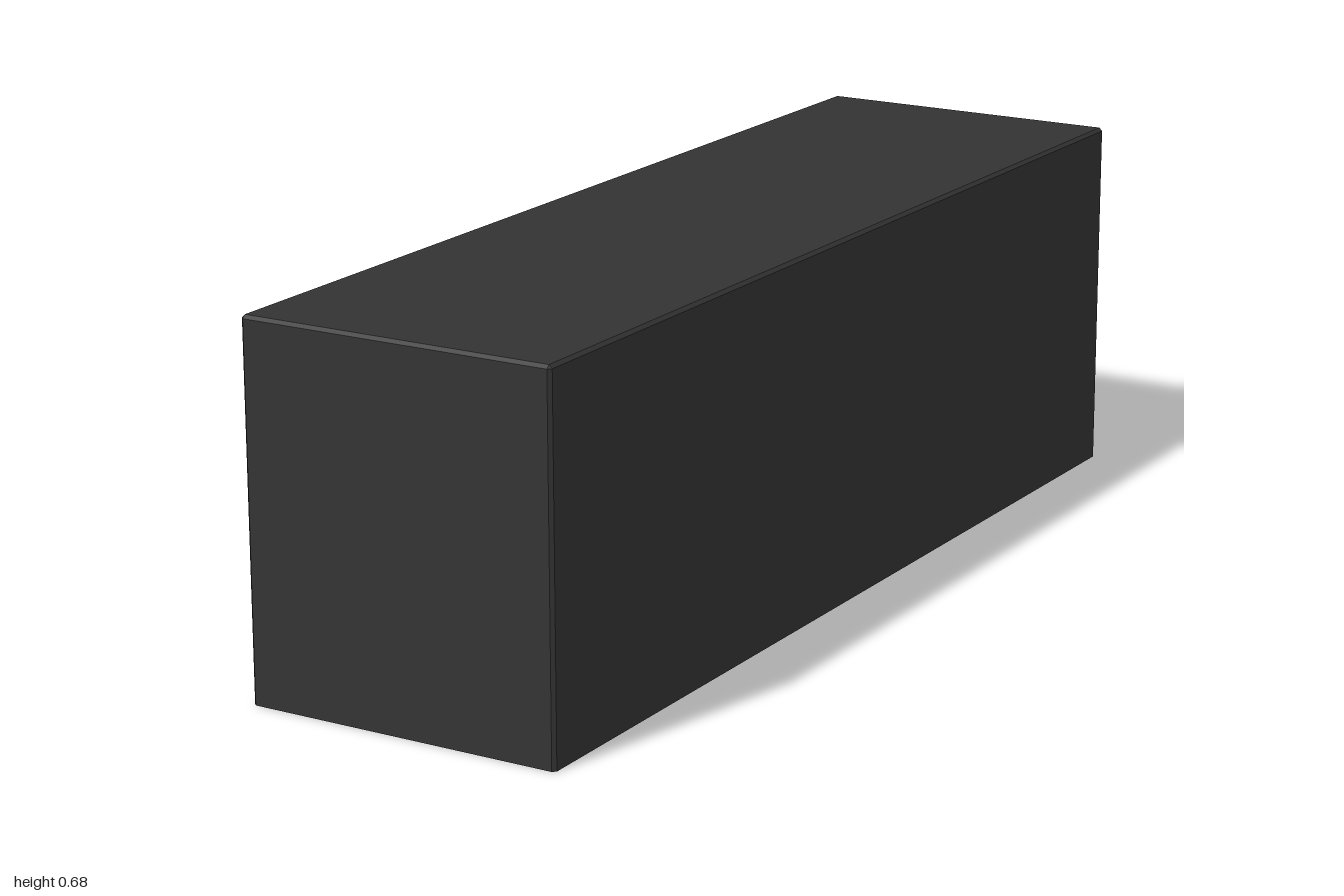
import * as THREE from 'three';

const X = 0.3, Z = 1, H = 0.675, C = 0.006; // half width, half length, height, chamfer
const cav = { x0: -X, x1: 0.245, y0: 0.03, y1: 0.636, z: 0.967 }; // storage cavity

// Flat-faced geometry from a list of quads
function quadGeometry(quads) {
  const pos = [];
  for (const [a, b, c, d] of quads) pos.push(...a, ...b, ...c, ...a, ...c, ...d);
  const g = new THREE.BufferGeometry();
  g.setAttribute('position', new THREE.Float32BufferAttribute(pos, 3));
  g.computeVertexNormals();
  return g;
}

// Outer skin: chamfered on every edge but the bottom, open below and on the shelf side
function skinGeometry() {
  const x = X - C, z = Z - C;
  const ring = [[X, z], [X, -z], [x, -Z], [-x, -Z], [-X, -z], [-X, z], [-x, Z], [x, Z]];
  const top = [[x, z], [x, -z], [x, -z], [-x, -z], [-x, -z], [-x, z], [-x, z], [x, z]];
  const at = (p, y) => [p[0], y, p[1]];
  const quads = [];
  for (let i = 0; i < 8; i++) {
    const j = (i + 1) % 8;
    if (i !== 4) quads.push([at(ring[i], 0), at(ring[j], 0), at(ring[j], H - C), at(ring[i], H - C)]);
    // Top chamfer, with triangles at the corners
    if (i % 2 === 0) quads.push([at(ring[i], H - C), at(ring[j], H - C), at(top[j], H), at(top[i], H)]);
    else quads.push([at(ring[i], H - C), at(ring[j], H - C), at(top[j], H), at(top[j], H)]);
  }
  quads.push([top[0], top[1], top[3], top[5]].map(p => at(p, H)));
  return quadGeometry(quads);
}

// Face frame around the opening
function frameGeometry() {
  const rect = (path, w, y0, y1) =>
    path.moveTo(-w, y0).lineTo(w, y0).lineTo(w, y1).lineTo(-w, y1).closePath();
  const shape = rect(new THREE.Shape(), Z - C, 0, H - C);
  shape.holes.push(rect(new THREE.Path(), cav.z, cav.y0, cav.y1));
  return new THREE.ShapeGeometry(shape).rotateY(-Math.PI / 2).translate(-X, 0, 0);
}

// Cavity lining: a box without its face on the open side
function liningGeometry() {
  const g = new THREE.BoxGeometry(cav.x1 - cav.x0, cav.y1 - cav.y0, 2 * cav.z);
  const idx = Array.from(g.index.array);
  idx.splice(6, 6);
  g.setIndex(idx);
  g.clearGroups();
  return g.translate((cav.x0 + cav.x1) / 2, (cav.y0 + cav.y1) / 2, 0);
}

export function createModel() {
  const group = new THREE.Group();
  group.name = 'openCabinet';
  const charcoal = new THREE.MeshStandardMaterial({ color: 0x333333, side: THREE.DoubleSide });
  charcoal.name = 'charcoal';

  const add = (name, geometry) => {
    const mesh = new THREE.Mesh(geometry, charcoal);
    mesh.name = name;
    group.add(mesh);
  };

  add('outerShell', skinGeometry());
  add('openingFrame', frameGeometry());
  add('cavityLining', liningGeometry());

  // Middle shelf, set back slightly from the opening
  const shelfFront = -X + 0.032;
  add('shelf', new THREE.BoxGeometry(cav.x1 - shelfFront, 0.043, 2 * cav.z)
    .translate((cav.x1 + shelfFront) / 2, 0.312, 0));

  return group;
}
